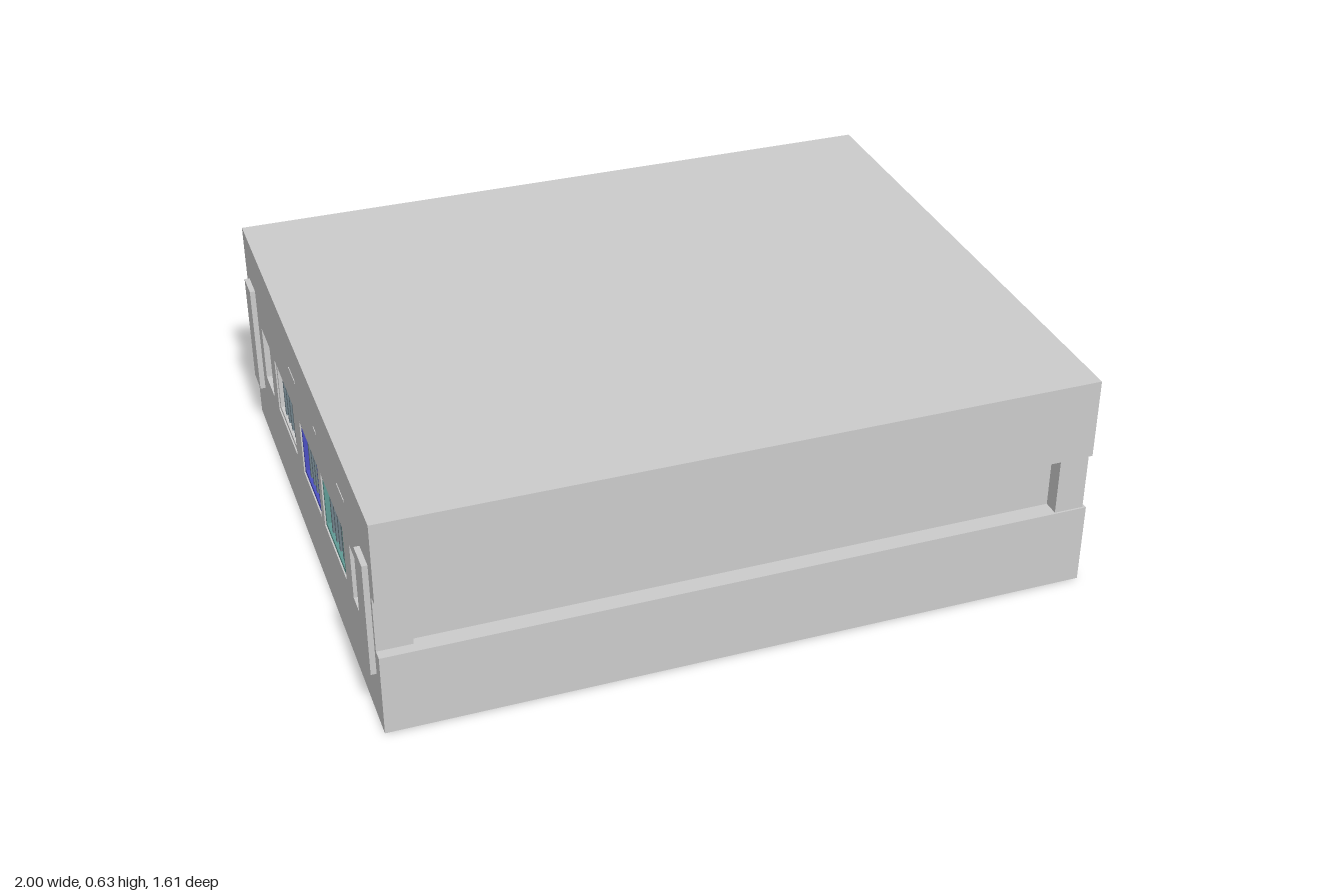
import * as THREE from 'three';

const paint = (color) => new THREE.MeshStandardMaterial({ color, flatShading: true });
const grey = paint(0xcccccc);

export function createModel() {
  const model = new THREE.Group();

  const add = (name, geometry, material = grey) => {
    const mesh = new THREE.Mesh(geometry, material);
    mesh.name = name;
    model.add(mesh);
    return mesh;
  };
  // Box given by its limits on each axis
  const box = (name, [x0, x1], [y0, y1], [z0, z1], material) =>
    add(name, new THREE.BoxGeometry(x1 - x0, y1 - y0, z1 - z0), material)
      .position.set((x0 + x1) / 2, (y0 + y1) / 2, (z0 + z1) / 2);
  // Outline in (z, y), extruded from x towards -x
  const slab = (name, shape, x, depth, material) => {
    const g = new THREE.ExtrudeGeometry(shape, { depth, bevelEnabled: false });
    g.rotateY(-Math.PI / 2).translate(x, 0, 0);
    return add(name, g, material);
  };
  const outline = (points, Type = THREE.Shape) => new Type(points.map((p) => new THREE.Vector2(...p)));
  const rect = (z0, z1, y0, y1, Type) => outline([[z0, y0], [z1, y0], [z1, y1], [z0, y1]], Type);

  const bottom = 0.235, top = 0.4, height = 0.63, half = 0.805;
  const inner = -0.925, outer = -0.985, right = 0.957;

  // Upper and lower shells with the recessed waist between them
  box('lowerShell', [inner, right], [0, bottom], [-half, half]);
  box('upperShell', [inner, right], [top, height], [-half, half]);
  box('waist', [inner, right - 0.008], [bottom, top], [-0.755, 0.755]);

  // Corner posts in the waist
  for (const s of [-1, 1]) {
    const z = s > 0 ? [0.7, 0.8] : [-0.798, -0.7];
    box('cornerPost', [0.866, right - 0.008], [bottom, top], z);
    box('endPost', [inner, -0.89], [bottom, top], s > 0 ? [0.7, 0.775] : [-0.775, -0.7]);
  }

  // Connector wall, notched at the waist and pierced by the ports
  const e = 0.775;
  const wall = outline([
    [-half, 0], [half, 0], [half, bottom], [e, bottom], [e, top], [half, top],
    [half, height], [-half, height], [-half, top], [-e, top], [-e, bottom], [-half, bottom],
  ]);
  const slots = [
    { z: [-0.43, -0.17], back: 0x8fa3ad, rim: 0xcccccc },
    { z: [-0.08, 0.15], back: 0x8a9db5, rim: 0x4a4ec0 },
    { z: [0.19, 0.45], back: 0x7fa5a5, rim: 0x5f9a94 },
  ];
  const pockets = [[-0.62, -0.5], [0.53, 0.68]];
  for (const z of [...slots.map((s) => s.z), ...pockets]) {
    wall.holes.push(rect(z[0], z[1], 0.225, 0.39, THREE.Path));
  }
  slab('connectorWall', wall, inner, inner - outer);

  // Coloured slots: back plate, rim and upright contact bars
  for (const { z: [z0, z1], back, rim } of slots) {
    box('slotBack', [-0.945, inner], [0.225, 0.39], [z0, z1], paint(back));
    const frame = rect(z0, z1, 0.225, 0.39);
    frame.holes.push(rect(z0 + 0.012, z1 - 0.03, 0.237, 0.378, THREE.Path));
    slab('slotRim', frame, -0.945, 0.036, paint(rim));
    for (let i = 1; i <= 4; i++) {
      const z = z0 + 0.012 + ((z1 - z0 - 0.042) * i) / 5;
      box('contactBar', [-0.975, -0.945], [0.237, 0.378], [z - 0.006, z + 0.006], paint(0x6f8088));
    }
  }

  // Raised dashes above the slots
  for (const [z0, z1] of [[-0.17, -0.09], [0.15, 0.18], [0.43, 0.51]]) {
    box('marker', [outer - 0.002, outer], [0.505, 0.513], [z0, z1]);
  }

  // Upright grips near both ends of the connector wall
  for (const s of [-1, 1]) {
    box('grip', [-1, outer], [0.155, 0.485], s > 0 ? [0.675, 0.76] : [-0.76, -0.675]);
  }

  // Latch on the opposite side, with a chamfered tip
  const latch = outline([[0.945, -0.69], [0.985, -0.69], [1, -0.685], [1, -0.678], [0.945, -0.678]]);
  const latchGeometry = new THREE.ExtrudeGeometry(latch, { depth: top - bottom, bevelEnabled: false });
  latchGeometry.rotateX(-Math.PI / 2).translate(0, bottom, 0);
  add('latch', latchGeometry);

  return model;
}
